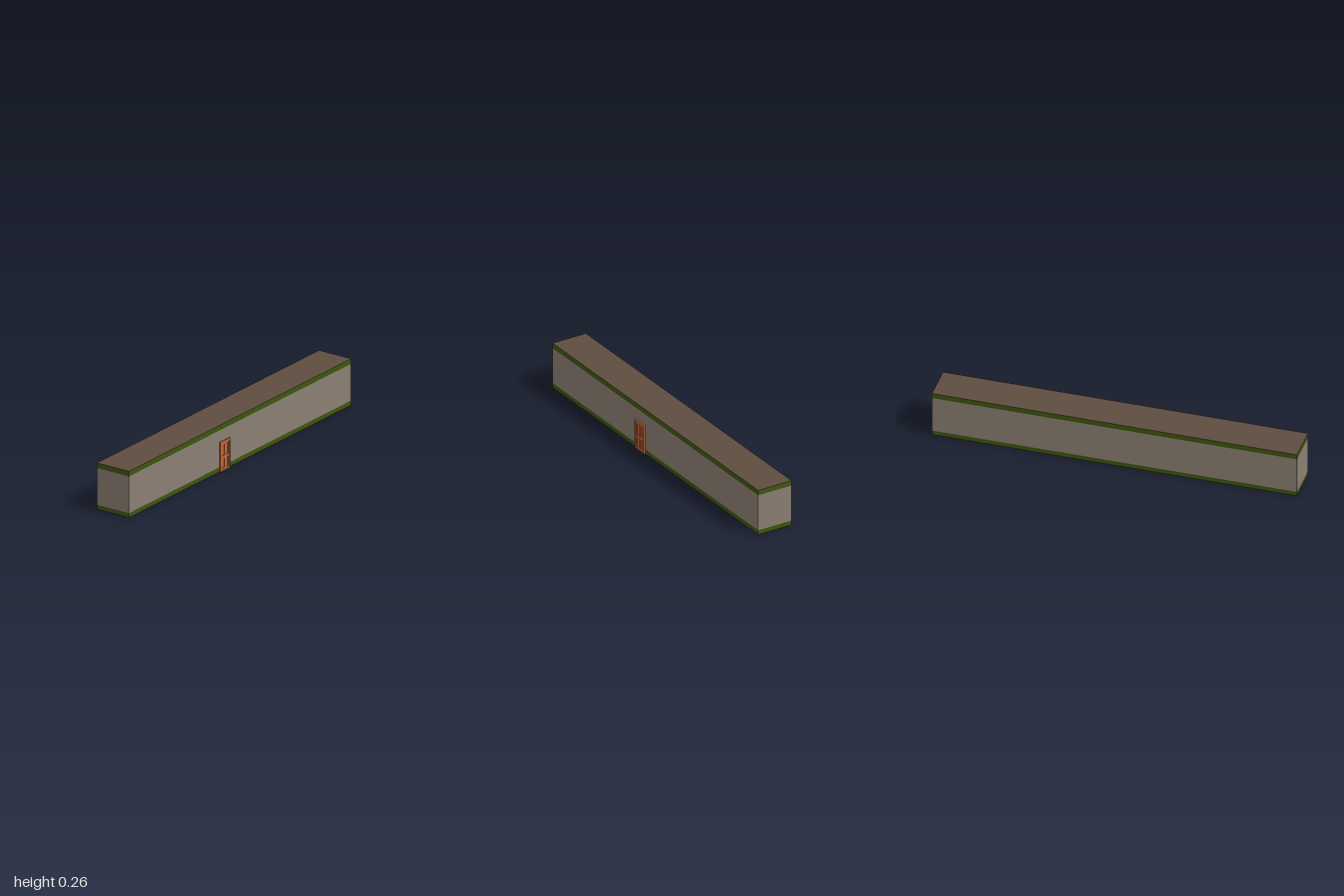
import * as THREE from 'three';

const mat = (name, color) => {
  const m = new THREE.MeshStandardMaterial({ color });
  m.name = name;
  return m;
};

function rect(target, x0, y0, x1, y1) {
  target.moveTo(x0, y0);
  target.lineTo(x1, y0);
  target.lineTo(x1, y1);
  target.lineTo(x0, y1);
  target.closePath();
  return target;
}

export function createModel() {
  const plaster = mat('plaster', 0x8c7f72);
  const trim = mat('green trim', 0x3f560f);
  const brown = mat('brown slab', 0x5f4d40);
  const wood = mat('orange wood', 0xc0693b);

  const model = new THREE.Group();
  model.name = 'corridor';
  const add = (parent, name, geometry, material) => {
    const mesh = new THREE.Mesh(geometry, material);
    mesh.name = name;
    parent.add(mesh);
    return mesh;
  };

  // Long hall: stacked wall courses, each only four outer sides
  const X0 = -0.109, X1 = 0.099, H = 0.262, W = X1 - X0, CX = (X0 + X1) / 2;
  const course = (name, y0, y1, material) => {
    const g = new THREE.BoxGeometry(W, y1 - y0, 2).translate(CX, (y0 + y1) / 2, 0);
    g.clearGroups();
    g.addGroup(0, 12, 0); // left and right sides
    g.addGroup(24, 12, 0); // front and back ends
    add(model, name, g, [material]);
  };
  course('lowerTrim', 0, 0.026, trim);
  course('walls', 0.026, 0.233, plaster);
  course('upperTrim', 0.233, H, trim);

  // Roof and floor faces
  const roof = add(model, 'roof', new THREE.PlaneGeometry(W, 2), brown);
  roof.rotation.x = -Math.PI / 2;
  roof.position.set(CX, H, 0);
  const floor = add(model, 'floor', new THREE.PlaneGeometry(W, 2), brown);
  floor.rotation.x = Math.PI / 2;
  floor.position.set(CX, 0, 0);

  // Door on the left side, drawn flat and extruded outward along x
  const door = new THREE.Group();
  door.name = 'door';
  door.rotation.y = Math.PI / 2;
  door.position.set(X1, 0, 0.142);
  model.add(door);
  const slab = (name, shape, depth) =>
    add(door, name, new THREE.ExtrudeGeometry(shape, { depth, bevelEnabled: false }), wood);

  const frame = rect(new THREE.Shape(), -0.045, 0, 0.045, 0.168);
  frame.holes.push(rect(new THREE.Path(), -0.036, 0.006, 0.036, 0.159));
  slab('doorFrame', frame, 0.009);

  // Leaf with two columns of recessed panels
  const leaf = rect(new THREE.Shape(), -0.036, 0.006, 0.036, 0.159);
  for (const [x0, x1] of [[-0.028, -0.005], [0.005, 0.028]]) {
    for (const [y0, y1] of [[0.017, 0.069], [0.085, 0.149]]) {
      leaf.holes.push(rect(new THREE.Path(), x0, y0, x1, y1));
    }
  }
  slab('doorLeaf', leaf, 0.006);
  slab('doorPanels', rect(new THREE.Shape(), -0.036, 0.006, 0.036, 0.159), 0.002);

  return model;
}
